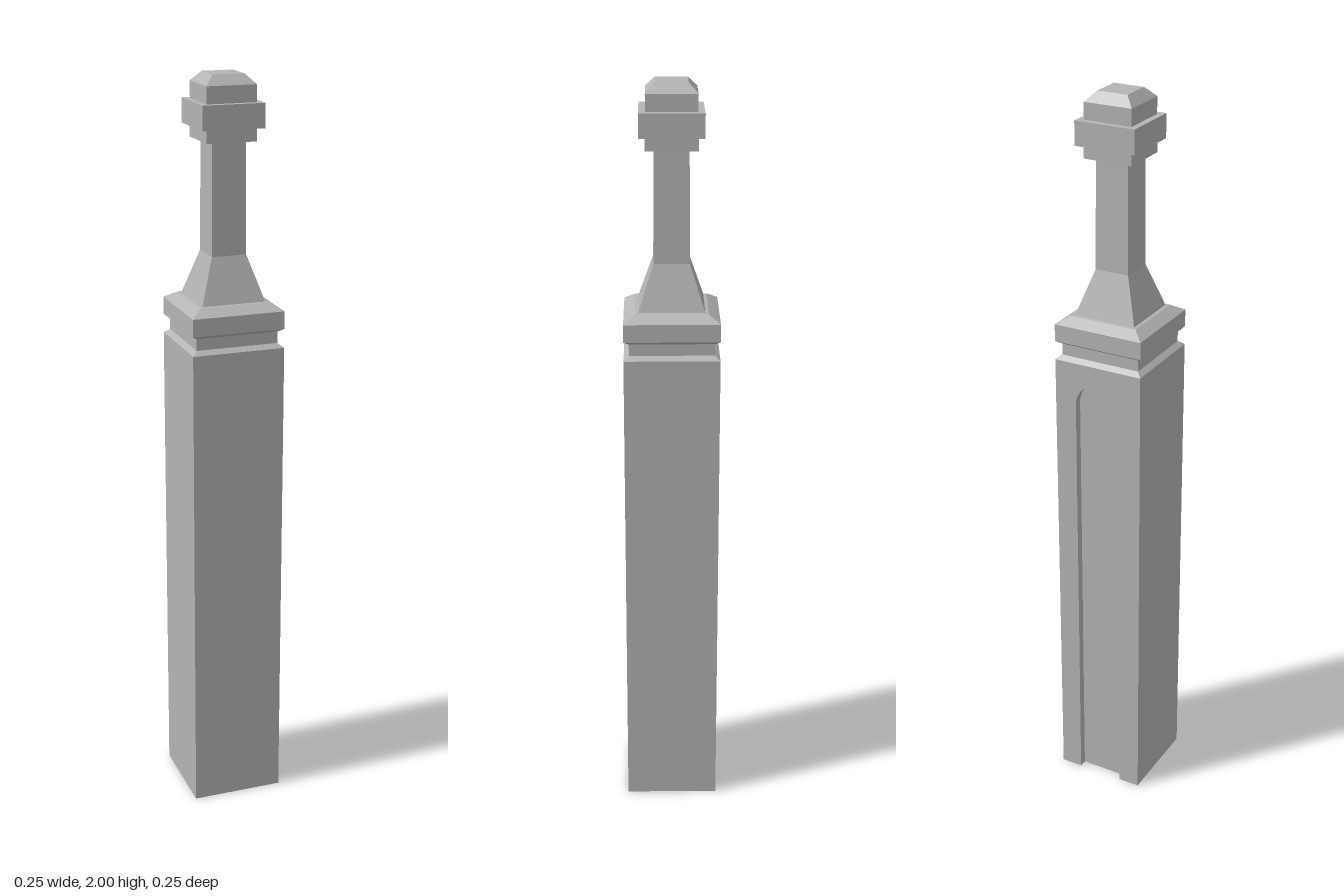
import * as THREE from 'three';

const HALF = 0.125;       // half width of the post
const BODY_TOP = 1.305;
const RECESS = 0.022;     // depth of the arched recess
const ARCH = 0.065;       // half width of the recess
const SPRING = 1.187;     // height where the arch begins

const stone = new THREE.MeshStandardMaterial({ color: 0xb4b4b4 });
stone.name = 'grey';

function part(name, geometry) {
  const mesh = new THREE.Mesh(geometry, stone);
  mesh.name = name;
  return mesh;
}

// Square turning: profile of [half width, height], listed upwards
function squareTurning(name, profile) {
  const points = profile.map(([h, y]) => new THREE.Vector2(h * Math.SQRT2, y));
  const geometry = new THREE.LatheGeometry(points, 4, Math.PI / 4).toNonIndexed();
  geometry.computeVertexNormals();
  return part(name, geometry);
}

export function createModel() {
  const group = new THREE.Group();
  group.name = 'newelPost';

  // Main block, whose back forms the floor of the recess
  const block = part('postBlock', new THREE.BoxGeometry(2 * HALF, BODY_TOP, 2 * HALF - RECESS));
  block.position.set(0, BODY_TOP / 2, RECESS / 2);
  group.add(block);

  // Back layer with an arched slot open at the foot
  const outline = new THREE.Shape();
  outline.moveTo(HALF, 0);
  outline.lineTo(HALF, BODY_TOP);
  outline.lineTo(-HALF, BODY_TOP);
  outline.lineTo(-HALF, 0);
  outline.lineTo(-ARCH, 0);
  outline.lineTo(-ARCH, SPRING);
  outline.absarc(0, SPRING, ARCH, Math.PI, 0, true);
  outline.lineTo(ARCH, 0);
  const back = part('archedBackPanel', new THREE.ExtrudeGeometry(outline, {
    depth: RECESS, bevelEnabled: false, curveSegments: 16,
  }));
  back.position.z = -HALF;
  group.add(back);

  // Mouldings, shaft and finial
  group.add(
    squareTurning('neckMoulding', [[HALF, BODY_TOP], [0.111, 1.316], [0.111, 1.347]]),
    squareTurning('capMoulding', [
      [0.111, 1.347], [HALF, 1.356], [HALF, 1.403], [0.095, 1.422], [0.086, 1.423],
    ]),
    squareTurning('flaredBase', [[0.086, 1.423], [0.047, 1.542]]),
    squareTurning('shaft', [[0.047, 1.542], [0.045, 1.834]]),
    squareTurning('finial', [
      [0.045, 1.834], [0.067, 1.834], [0.067, 1.868], [0.083, 1.868], [0.083, 1.931],
      [0.066, 1.931], [0.066, 1.975], [0.042, 2], [0, 2],
    ]),
  );
  return group;
}
